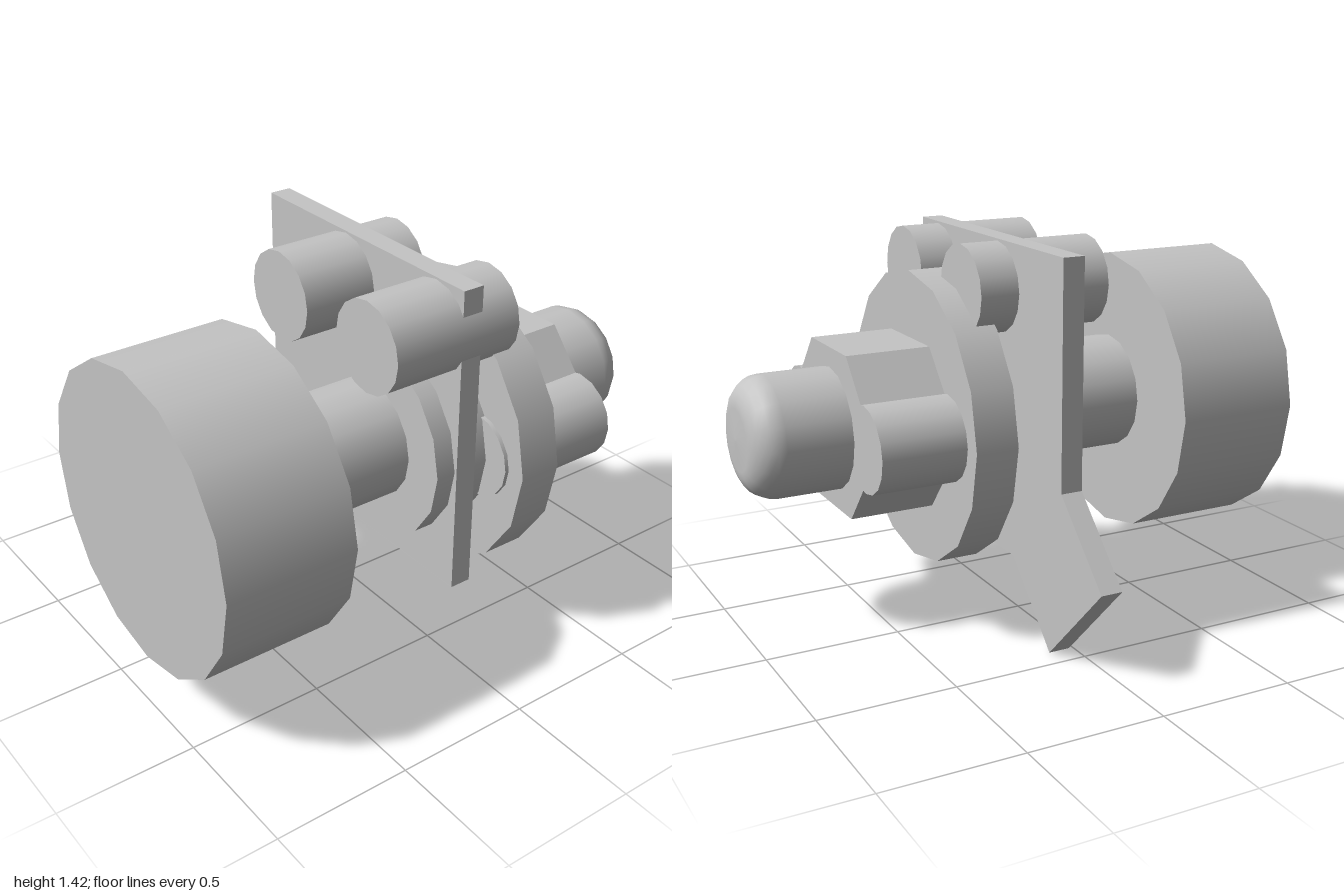
import * as THREE from 'three';

const AXIS_Y = 0.745, AXIS_Z = 0.22;

export function createModel() {
  const group = new THREE.Group();
  const grey = new THREE.MeshStandardMaterial({ color: 0xc4c4c4 });
  grey.name = 'plain grey';

  const add = (name, geometry, y = 0, z = 0) => {
    const mesh = new THREE.Mesh(geometry, grey);
    mesh.name = name;
    mesh.position.set(0, y, z);
    group.add(mesh);
  };

  // Cylinder lying along x from x0 to x1
  const rod = (name, radius, x0, x1, y = AXIS_Y, z = AXIS_Z) => {
    const g = new THREE.CylinderGeometry(radius, radius, x1 - x0, 16);
    g.rotateZ(-Math.PI / 2).translate((x0 + x1) / 2, 0, 0);
    add(name, g, y, z);
  };

  // Outline of [z, y] points extruded along x from x0 to x1
  const slab = (name, points, x0, x1, y = 0, z = 0) => {
    const shape = new THREE.Shape(points.map(([pz, py]) => new THREE.Vector2(-pz, py)));
    const g = new THREE.ExtrudeGeometry(shape, { depth: x1 - x0, bevelEnabled: false });
    g.rotateY(Math.PI / 2).translate(x0, 0, 0);
    add(name, g, y, z);
  };

  // Turned parts on the main axis
  rod('knob', 0.545, -1, -0.52);
  rod('shaft', 0.22, -0.52, 0.02);
  rod('collar', 0.375, -0.06, 0.17);
  rod('flange', 0.545, 0.17, 0.33);

  // Mounting plate with an angled tab
  slab('mountingPlate', [
    [0.605, 1.42], [0.605, 0.275], [-0.145, 0.275], [-0.415, 0],
    [-0.76, 0.345], [-0.49, 0.615], [-0.49, 1.42],
  ], 0.015, 0.095);

  // Two pins through the top of the plate
  for (const z of [0.465, -0.025]) rod('platePin', 0.163, -0.265, 0.24, 1.25, z);

  // Faceted block with a round lug on either side
  slab('block', [
    [0.17, 0.298], [0.295, 0.152], [0.295, -0.152], [0.17, -0.298],
    [-0.17, -0.298], [-0.295, -0.152], [-0.295, 0.152], [-0.17, 0.298],
  ], 0.33, 0.645, AXIS_Y, AXIS_Z);
  for (const side of [-1, 1]) rod('sideLug', 0.158, 0.155, 0.645, AXIS_Y, AXIS_Z + side * 0.317);

  // Rounded nose
  const profile = [new THREE.Vector2(0.225, 0.645)];
  for (let i = 0; i <= 6; i++) {
    const a = (i / 6) * Math.PI / 2;
    profile.push(new THREE.Vector2(0.115 + 0.11 * Math.cos(a), 0.885 + 0.11 * Math.sin(a)));
  }
  profile.push(new THREE.Vector2(0, 1));
  add('nose', new THREE.LatheGeometry(profile, 16).rotateZ(-Math.PI / 2), AXIS_Y, AXIS_Z);

  return group;
}
